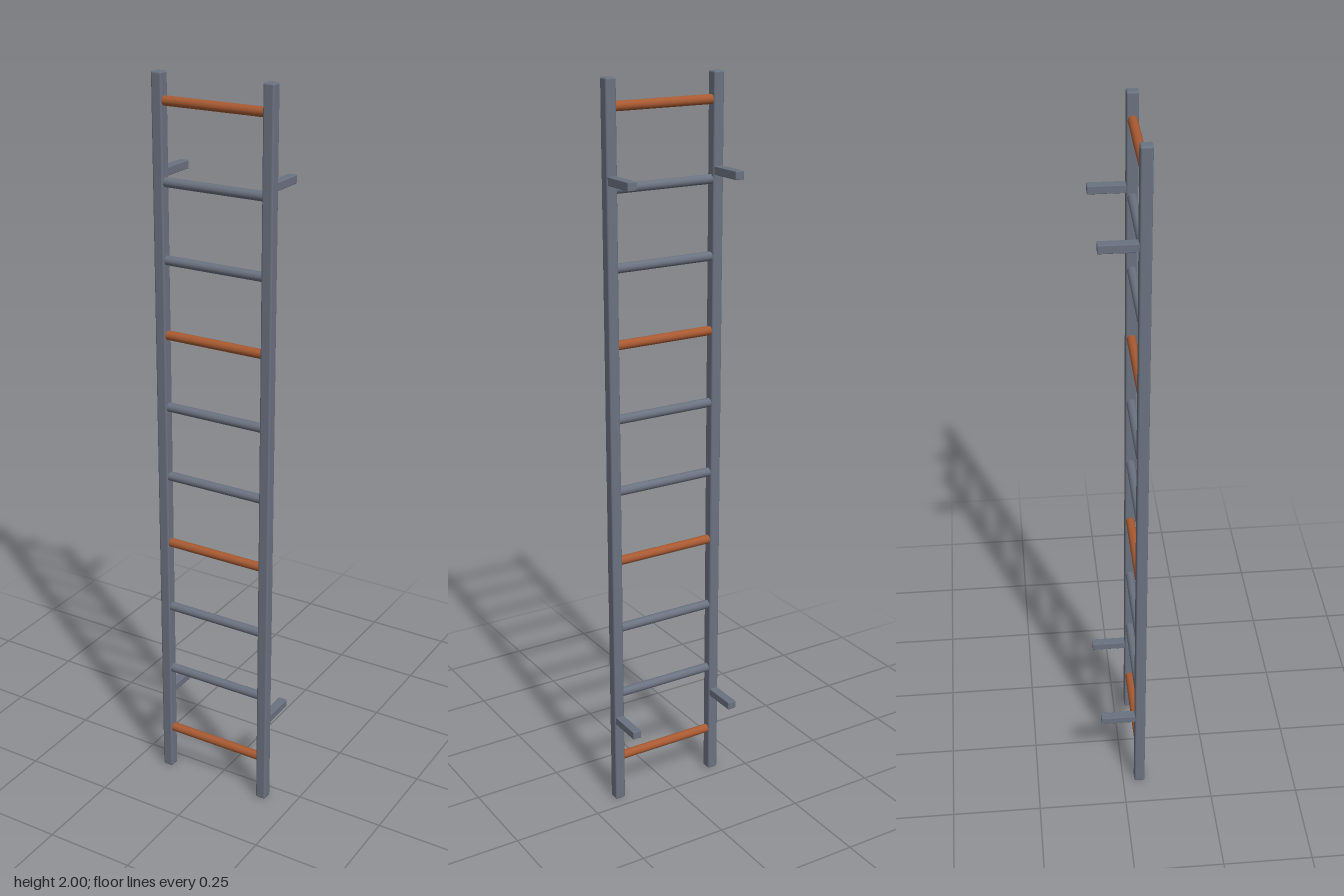
import * as THREE from 'three';
import { RoundedBoxGeometry } from 'three/addons/geometries/RoundedBoxGeometry.js';

const RAIL_X = 0.156, RAIL_Z = 0.048;

export function createModel() {
  const group = new THREE.Group();
  const steel = new THREE.MeshStandardMaterial({ color: 0x6b7280 });
  steel.name = 'steel grey';
  const copper = new THREE.MeshStandardMaterial({ color: 0xa85a32 });
  copper.name = 'copper';

  const add = (name, geometry, material, x, y, z) => {
    const mesh = new THREE.Mesh(geometry, material);
    mesh.name = name;
    mesh.position.set(x, y, z);
    group.add(mesh);
  };

  // Side rails with softened edges, and the wall brackets behind them
  const railGeo = new RoundedBoxGeometry(0.03, 2, 0.03, 2, 0.005);
  const bracketGeo = new RoundedBoxGeometry(0.025, 0.022, 0.106, 2, 0.002);
  for (const [side, s] of [['left', 1], ['right', -1]]) {
    add(`${side}Rail`, railGeo, steel, s * RAIL_X, 1, RAIL_Z);
    add(`${side}LowerBracket`, bracketGeo, steel, s * RAIL_X, 0.253, -0.01);
    add(`${side}UpperBracket`, bracketGeo, steel, s * RAIL_X, 1.753, -0.01);
  }

  // Ten round rungs, every third one copper
  const rungGeo = new THREE.CylinderGeometry(0.0125, 0.0125, 2 * RAIL_X, 16);
  rungGeo.rotateZ(Math.PI / 2);
  for (let i = 0; i < 10; i++) {
    add(`rung${i + 1}`, rungGeo, i % 3 === 0 ? copper : steel, 0, 0.13 + 0.2 * i, RAIL_Z);
  }
  return group;
}
